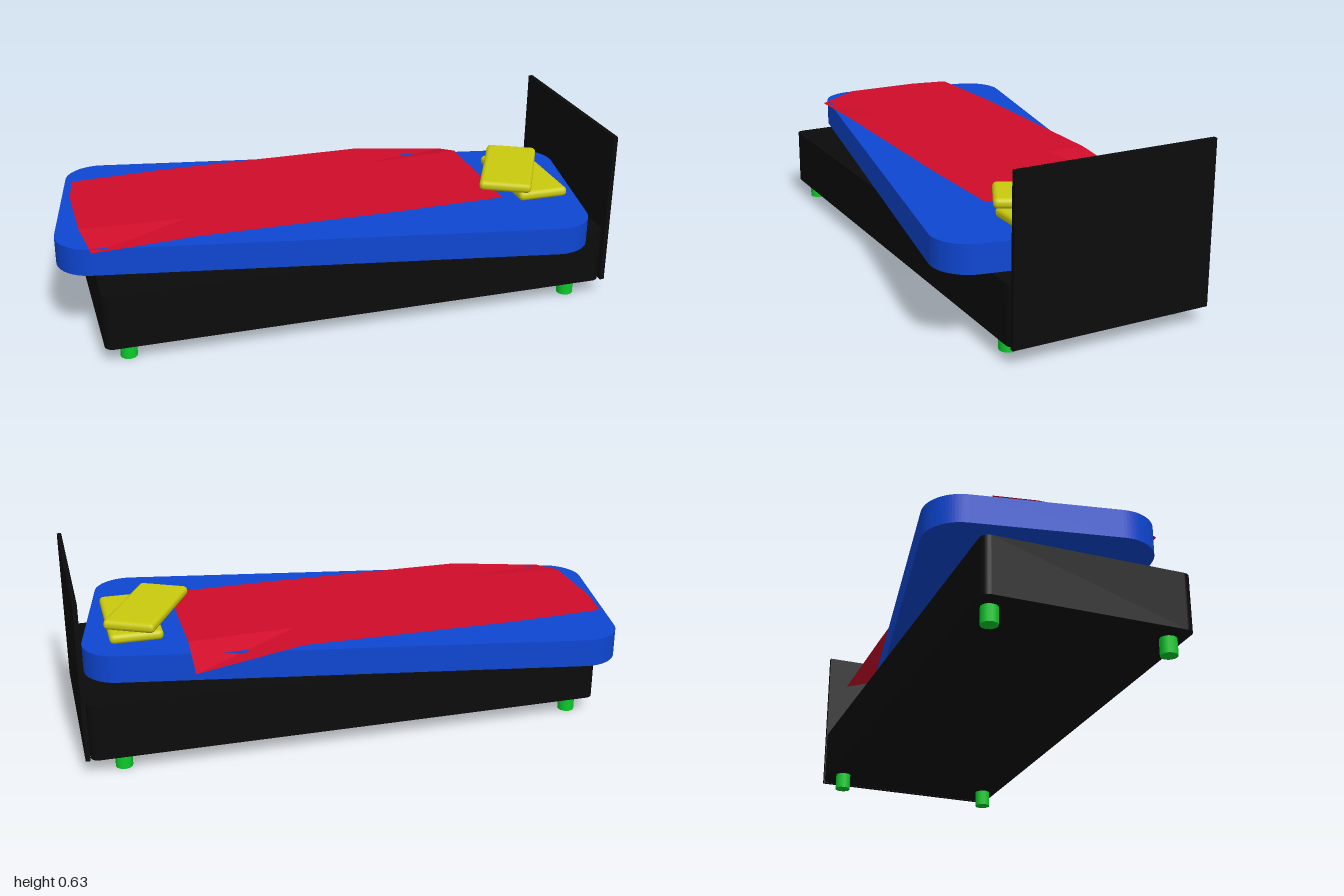
import * as THREE from 'three';
import { RoundedBoxGeometry } from 'three/addons/geometries/RoundedBoxGeometry.js';

const paint = (color, extra = {}) => new THREE.MeshStandardMaterial({ color, ...extra });

// Upright slab with a rounded-rectangle plan, centred on x/z, standing on y = 0
function roundedSlab(length, height, width, r) {
  const a = length / 2 - r, b = width / 2 - r;
  const s = new THREE.Shape();
  s.absarc(a, b, r, 0, Math.PI / 2);
  s.absarc(-a, b, r, Math.PI / 2, Math.PI);
  s.absarc(-a, -b, r, Math.PI, Math.PI * 1.5);
  s.absarc(a, -b, r, Math.PI * 1.5, Math.PI * 2);
  const g = new THREE.ExtrudeGeometry(s, { depth: height, bevelEnabled: false, curveSegments: 10 });
  return g.rotateX(-Math.PI / 2);
}

// Thin sheet lying flat, with two opposite corners hanging down
function blanketGeometry() {
  const columns = [-0.915, -0.54, -0.15, 0.23, 0.61];
  const back = [-0.33, -0.35, -0.35, -0.35, -0.375];
  const front = [0.24, 0.27, 0.27, 0.27, 0.26];
  const g = new THREE.PlaneGeometry(1, 1, 4, 4).rotateX(-Math.PI / 2);
  const p = g.attributes.position;
  for (let i = 0; i < p.count; i++) {
    const c = i % 5, r = Math.floor(i / 5);
    const footCorner = c === 0 && (r === 0 || r === 4);
    let y = 0.4;
    if (c === 0 && r === 4) y = 0.37;
    if (c === 4 && r === 0) y = 0.348;
    p.setXYZ(i, columns[c] + (footCorner ? 0.025 : 0), y,
      THREE.MathUtils.lerp(back[c], front[c], r / 4));
  }
  g.computeVertexNormals();
  return g;
}

export function createModel() {
  const model = new THREE.Group();
  const black = paint(0x0b0b0b), blue = paint(0x0e46d2), green = paint(0x0ccc2c);
  const yellow = paint(0xcaca0e);
  const red = paint(0xd00d2a, { side: THREE.DoubleSide, flatShading: true });

  const add = (name, geometry, material, x, y, z, turn = 0) => {
    const mesh = new THREE.Mesh(geometry, material);
    mesh.name = name;
    mesh.position.set(x, y, z);
    mesh.rotation.y = turn;
    model.add(mesh);
  };

  // Bed base and headboard
  add('base', roundedSlab(1.86, 0.205, 0.73, 0.03), black, 0.05, 0.06, 0.005);
  add('headboard', new THREE.BoxGeometry(0.016, 0.575, 0.727), black, 0.99, 0.3475, 0.007);

  // Four short feet
  const foot = new THREE.CylinderGeometry(0.03, 0.03, 0.062, 12);
  for (const x of [-0.795, 0.865])
    for (const z of [-0.305, 0.315]) add('foot', foot, green, x, 0.031, z);

  // Mattress, lying askew on the base
  add('mattress', roundedSlab(1.904, 0.1, 0.752, 0.13), blue, -0.017, 0.275, 0, -0.185);

  // Blanket
  add('blanket', blanketGeometry(), red, 0, 0, 0);

  // Two stacked pillows
  const pillow = new RoundedBoxGeometry(0.19, 0.036, 0.39, 2, 0.016);
  add('lowerPillow', pillow, yellow, 0.775, 0.392, 0.073);
  add('upperPillow', pillow, yellow, 0.715, 0.427, 0.07, -0.475);

  return model;
}
